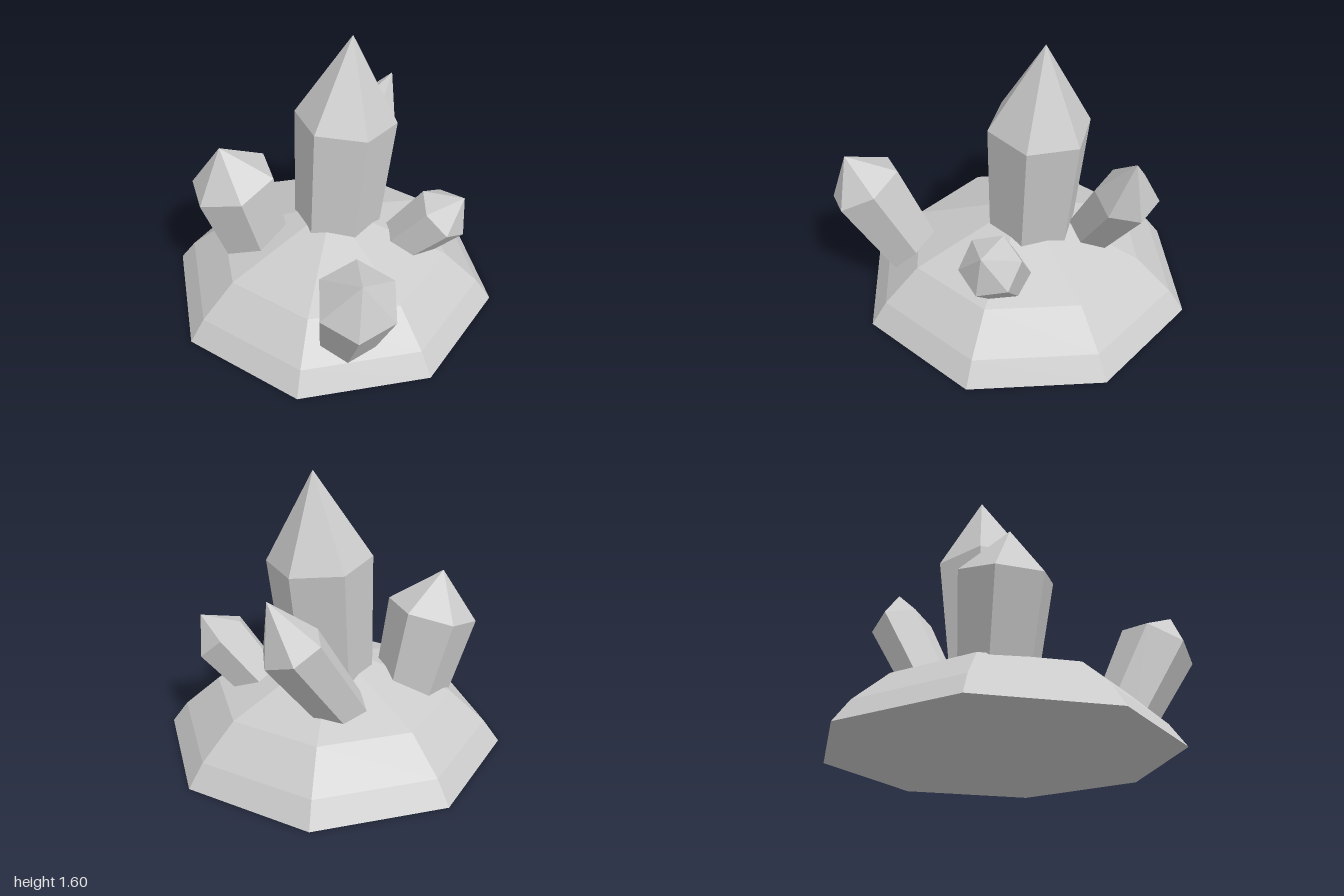
import * as THREE from 'three';

const material = new THREE.MeshStandardMaterial({ color: 0xcccccc, flatShading: true });
const vec = (a) => new THREE.Vector3(...a);

function lathe(profile, sides) {
  const points = profile.map(([x, y]) => new THREE.Vector2(x, y));
  return new THREE.LatheGeometry(points, sides);
}

function facetedMesh(name, geometry) {
  const flat = geometry.toNonIndexed();
  flat.computeVertexNormals();
  const mesh = new THREE.Mesh(flat, material);
  mesh.name = name;
  return mesh;
}

// Six-sided crystal: a tapering prism from foot to shoulder, then a pyramid to the tip.
// corner is the offset from the shoulder centre to one of its corners.
function crystal({ name, shoulder, tip, corner, radius, footRadius, length, foot }) {
  const S = vec(shoulder), T = vec(tip);
  const axis = T.clone().sub(S).normalize();
  const w = vec(corner).projectOnPlane(axis).normalize();
  const u = axis.clone().cross(w);
  const F = foot ? vec(foot) : S.clone().addScaledVector(axis, -length);
  const levels = [F, S, T];

  // Profile heights 0, 1, 2 select the centre each ring is placed around
  const geometry = lathe([[0, 0], [footRadius, 0], [radius, 1], [0, 2]], 6);
  const pos = geometry.attributes.position;
  for (let i = 0; i < pos.count; i++) {
    const p = levels[Math.round(pos.getY(i))].clone()
      .addScaledVector(u, pos.getX(i))
      .addScaledVector(w, pos.getZ(i));
    pos.setXYZ(i, p.x, p.y, p.z);
  }
  return facetedMesh(name, geometry);
}

const crystals = [
  { name: 'mainCrystal', shoulder: [0.058, 1.11, -0.14], tip: [0.085, 1.595, -0.175],
    corner: [-0.28, 0.02, 0.02], radius: 0.285, footRadius: 0.24, length: 0.85 },
  { name: 'rightCrystal', shoulder: [-0.548, 0.752, 0.078], tip: [-0.6, 0.98, 0.105],
    corner: [-0.247, -0.052, -0.013], radius: 0.25, footRadius: 0.2, length: 0.58 },
  { name: 'frontCrystal', shoulder: [0.295, 0.675, 0.81], tip: [0.33, 0.86, 0.9],
    corner: [0.04, -0.1, 0.19], radius: 0.218, footRadius: 0.163, length: 0.64 },
  { name: 'leftCrystal', shoulder: [0.637, 0.585, -0.063], tip: [0.748, 0.71, -0.058],
    corner: [-0.11, 0.115, -0.03], radius: 0.17, footRadius: 0.132, length: 0.45 },
  // The back crystal's prism leans further than its tip
  { name: 'backCrystal', shoulder: [0.13, 0.815, -0.647], tip: [0.236, 1.087, -0.706],
    corner: [-0.037, -0.018, -0.167], radius: 0.172, footRadius: 0.138,
    foot: [-0.134, 0.265, -0.352] },
];

export function createModel() {
  const group = new THREE.Group();
  group.name = 'crystalCluster';

  // Eight-sided rock mound with a flat underside
  const mound = facetedMesh('rockBase',
    lathe([[0, 0], [0.96, 0], [0.87, 0.125], [0.67, 0.305], [0, 0.555]], 8));
  mound.position.z = -0.04;
  group.add(mound);

  for (const spec of crystals) group.add(crystal(spec));
  return group;
}
